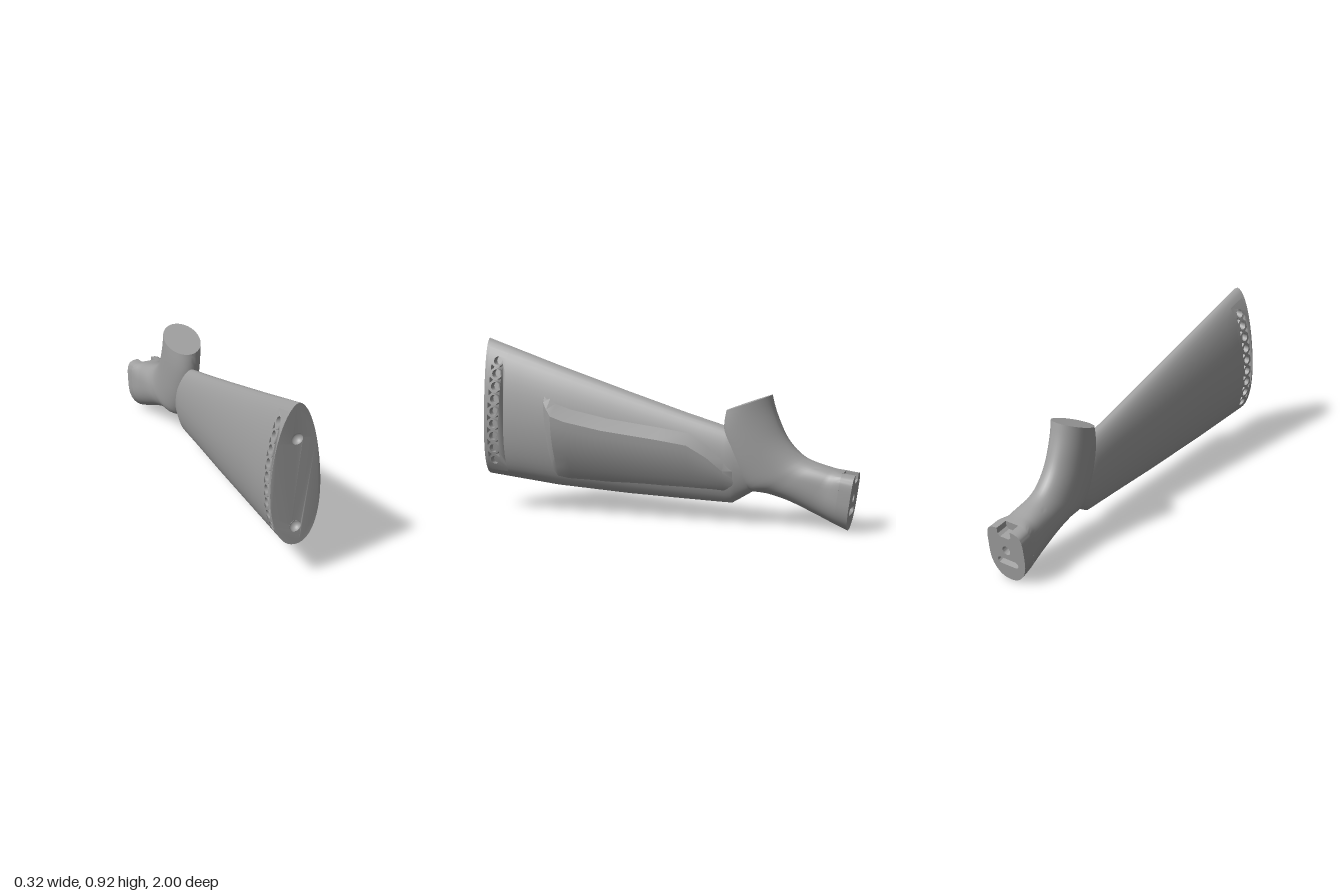
import * as THREE from 'three';
import { toCreasedNormals } from 'three/addons/utils/BufferGeometryUtils.js';

const V = (x, y, z) => new THREE.Vector3(x, y, z);
const lerp = THREE.MathUtils.lerp;
const SEG = 48;

// Row of a keyed table at k (first column, descending or ascending)
function sample(table, k) {
  const dir = Math.sign(table[1][0] - table[0][0]);
  let i = 0;
  while (i < table.length - 2 && (k - table[i + 1][0]) * dir > 0) i++;
  const a = table[i], b = table[i + 1];
  const t = THREE.MathUtils.clamp((k - a[0]) / (b[0] - a[0]), 0, 1);
  return a.map((v, n) => lerp(v, b[n], t));
}

// Superellipse point on the unit circle; n differs above and below the widest line
function oval(j, nTop, nBot) {
  const a = (j / SEG) * Math.PI * 2, c = Math.cos(a), s = Math.sin(a);
  const n = s >= 0 ? nTop : nBot;
  const p = (v) => Math.sign(v) * Math.pow(Math.abs(v) < 1e-9 ? 0 : Math.abs(v), 2 / n);
  return [p(c), p(s)];
}

// Skin over rings of points, with optional caps and left-out quads
function loft(rings, { closed = true, capStart, capEnd, skip = () => false, crease = 0.6 } = {}) {
  const m = rings[0].length, pos = [], index = [];
  rings.forEach((r) => r.forEach((p) => pos.push(p.x, p.y, p.z)));
  for (let i = 0; i < rings.length - 1; i++)
    for (let j = 0; j < (closed ? m : m - 1); j++) {
      if (skip(i, j)) continue;
      const a = i * m + j, b = i * m + ((j + 1) % m), c = a + m, d = b + m;
      index.push(a, c, d, a, d, b);
    }
  const cap = (i, flip) => {
    const c = V(0, 0, 0);
    rings[i].forEach((p) => c.addScaledVector(p, 1 / m));
    const id = pos.length / 3;
    pos.push(c.x, c.y, c.z);
    for (let j = 0; j < m; j++) {
      const a = i * m + j, b = i * m + ((j + 1) % m);
      index.push(id, flip ? b : a, flip ? a : b);
    }
  };
  if (capStart) cap(0, false);
  if (capEnd) cap(rings.length - 1, true);
  const g = new THREE.BufferGeometry();
  g.setAttribute('position', new THREE.Float32BufferAttribute(pos, 3));
  g.setIndex(index);
  return toCreasedNormals(g, crease);
}

// Body stations: z, top, bottom, widest y, centre x, half width, upper and lower roundness
const BODY = [
  [1, 0.92, 0.185, 0.47, -0.038, 0.127, 1.75, 2.2],
  [0.6, 0.787, 0.143, 0.44, -0.027, 0.112, 1.8, 2],
  [0.2, 0.66, 0.121, 0.37, -0.022, 0.094, 1.9, 1.9],
  [-0.1, 0.567, 0.112, 0.33, -0.018, 0.08, 2, 1.9],
  [-0.28, 0.515, 0.107, 0.31, -0.017, 0.074, 2, 1.9],
  [-0.36, 0.49, 0.105, 0.3, -0.017, 0.07, 2, 1.9],
  [-0.41, 0.45, 0.135, 0.3, -0.017, 0.06, 2, 2],
  [-0.5, 0.4, 0.19, 0.29, -0.017, 0.04, 2, 2],
];
const padZ = (y) => 1 - 0.015 * (1 - ((y - 0.55) / 0.37) ** 2);
function bodyRing(z) {
  const [, top, bot, cy, xc, hw, nT, nB] = sample(BODY, z);
  return Array.from({ length: SEG }, (_, j) => {
    const [c, s] = oval(j, nT, nB);
    return V(xc + hw * c, cy + s * (s > 0 ? top - cy : cy - bot), z);
  });
}
function bodyX(z, y, side) {
  const [, top, bot, cy, xc, hw, nT, nB] = sample(BODY, z);
  const t = Math.min(1, y > cy ? (y - cy) / (top - cy) : (cy - y) / (cy - bot));
  const n = y > cy ? nT : nB;
  return xc + side * hw * Math.pow(1 - Math.pow(t, n), 1 / n);
}

// Neck stations: position, half width, inner and outer roundness
const NECK = [[0, 0.098, 2, 2], [3, 0.094, 2, 2], [6, 0.09, 2.2, 2.2], [8, 0.097, 3, 2.2], [9, 0.108, 5, 2.2]];
const INNER = [[0.67, -0.565], [0.61, -0.58], [0.54, -0.605], [0.465, -0.64], [0.41, -0.68],
  [0.365, -0.73], [0.34, -0.78], [0.32, -0.84], [0.305, -0.89], [0.294, -0.936]];
const OUTER = [[0.585, -0.33], [0.54, -0.32], [0.48, -0.315], [0.38, -0.33], [0.27, -0.37],
  [0.18, -0.44], [0.165, -0.54], [0.135, -0.65], [0.075, -0.79], [0.026, -0.898]];

export function createModel() {
  const group = new THREE.Group();
  const grey = new THREE.MeshStandardMaterial({ color: 0xa0a0a0, side: THREE.DoubleSide });
  const add = (name, geo) => {
    const m = new THREE.Mesh(geo, grey);
    m.name = name;
    group.add(m);
  };

  // Main body, open where the vent panels sit
  const Z0 = 0.98, Z1 = 0.875, LOW = -8, HIGH = 9;
  const zs = [Z0, Z1, 0.8, 0.7, 0.6, 0.5, 0.4, 0.3, 0.2, 0.1, 0, -0.1, -0.2, -0.28, -0.33, -0.36, -0.385, -0.41, -0.45, -0.5];
  const rim = bodyRing(1).map((p) => V(p.x, p.y, padZ(p.y)));
  const inVent = (i, j) => {
    if (i !== 1) return false;
    const k = j >= SEG / 2 + SEG / 4 ? j - SEG : j;
    return (k >= LOW && k < HIGH) || (k >= SEG / 2 - HIGH && k < SEG / 2 - LOW);
  };
  add('body', loft([rim, ...zs.map(bodyRing)], { capEnd: true, skip: inVent }));

  // Concave butt pad with two round recesses
  const pad = new THREE.Shape(rim.map((p) => new THREE.Vector2(p.x, p.y)));
  for (const y of [0.733, 0.28]) {
    pad.holes.push(new THREE.Path().absarc(-0.038, y, 0.029, 0, Math.PI * 2, true));
    const bowl = new THREE.SphereGeometry(0.029, 24, 8, 0, Math.PI * 2, Math.PI / 2, Math.PI / 2);
    const geo = bowl.rotateX(Math.PI / 2).translate(-0.038, y, padZ(y));
    const flip = geo.index.array;
    for (let i = 0; i < flip.length; i += 3) [flip[i], flip[i + 1]] = [flip[i + 1], flip[i]];
    geo.computeVertexNormals();
    add('screwRecess', geo);
  }
  const padGeo = new THREE.ShapeGeometry(pad, 12);
  const pp = padGeo.attributes.position;
  for (let i = 0; i < pp.count; i++) pp.setZ(i, padZ(pp.getY(i)));
  padGeo.computeVertexNormals();
  add('buttPad', padGeo);

  // Vent outlines in (z, y): a row of circles with wedges between them
  const vents = [];
  for (let i = 0; i < 9; i++) {
    const y = 0.272 + i * 0.0665, z = 0.94 - i * 0.002;
    vents.push(Array.from({ length: 14 }, (_, k) => {
      const a = (k / 14) * Math.PI * 2;
      return [z + 0.022 * Math.cos(a), y + 0.022 * Math.sin(a)];
    }));
    if (i < 8) for (const s of [-1, 1])
      vents.push([[z + s * 0.011, y + 0.033], [z + s * 0.032, y + 0.049], [z + s * 0.032, y + 0.017]]);
  }
  for (const side of [1, -1]) {
    const flat = (pts) => pts.map(([z, y]) => new THREE.Vector2(-side * z, y));
    const place = (geo, depth) => {
      const p = geo.attributes.position;
      for (let i = 0; i < p.count; i++) {
        const z = -side * p.getX(i), y = p.getY(i);
        p.setXYZ(i, bodyX(z, y, side) - side * depth, y, z);
      }
      geo.computeVertexNormals();
      return geo;
    };
    const front = bodyRing(Z0), back = bodyRing(Z1), outline = [];
    for (let k = LOW; k <= HIGH; k++) outline.push([Z0, front[(k + SEG) % SEG].y]);
    for (let k = HIGH; k >= LOW; k--) outline.push([Z1, back[(k + SEG) % SEG].y]);
    const panel = new THREE.Shape(flat(outline));
    vents.forEach((v) => panel.holes.push(new THREE.Path(flat(v))));
    add('ventPanel', place(new THREE.ShapeGeometry(panel), 0));
    for (const v of vents) {
      const wall = [0, 0.04].map((d) => v.map(([z, y]) => V(bodyX(z, y, side) - side * d, y, z)));
      add('ventWall', loft(wall));
      add('ventFloor', place(new THREE.ShapeGeometry(new THREE.Shape(flat(v))), 0.04));
    }
  }

  // Swell on the left side: z, outer x, ridge height
  const SWELL = [[0.66, 0.06, 0.6], [0.645, 0.08, 0.595], [0.61, 0.125, 0.565], [0.575, 0.16, 0.535],
    [0.5, 0.16, 0.51], [0.3, 0.143, 0.47], [0, 0.122, 0.432], [-0.15, 0.113, 0.41],
    [-0.25, 0.095, 0.35], [-0.33, 0.075, 0.28], [-0.4, 0.03, 0.22]];
  add('sideSwell', loft(SWELL.map(([z, xo, yt]) => {
    const y0 = 0.165, x0 = bodyX(z, y0, 1) - 0.006, row = [];
    for (let k = 0; k <= 8; k++) {
      const s = k / 8;
      row.push(V(lerp(x0, xo, Math.sin((s * Math.PI) / 2) ** 0.85), lerp(y0, yt, s), z));
    }
    row.push(V(bodyX(z, yt + 0.06, 1) - 0.008, yt + 0.06, z));
    return row;
  }), { closed: false, crease: 0.5 }));

  // Neck: sweeps from the oval upper stub round to the tip
  const curve = (pts) => new THREE.CatmullRomCurve3(pts.map(([y, z]) => V(0, y, z)));
  const inner = curve(INNER), outer = curve(OUTER), rings = [];
  for (let i = 0; i <= 27; i++) {
    const a = inner.getPoint(i / 27), b = outer.getPoint(i / 27);
    const [, hw, nT, nB] = sample(NECK, i / 3);
    const mid = a.clone().add(b).multiplyScalar(0.5), up = a.clone().sub(mid);
    const xc = lerp(-0.017, -0.035, Math.min(1, i / 24));
    rings.push(Array.from({ length: SEG }, (_, j) => {
      const [c, s] = oval(j, nT, nB);
      return mid.clone().addScaledVector(up, s).add(V(xc + hw * c, 0, 0));
    }));
  }
  add('neck', loft(rings, { capStart: true, capEnd: true }));

  // Tip block with a top notch, a round hole and a slot
  const H = 0.144, W = 0.11, D = 0.065, pts = [];
  for (let j = 0; j < SEG; j++) {
    const [c, s] = oval(j, 5, 2.2);
    if (s > 0 && Math.abs(c * W) < 0.045) {
      if (j === SEG / 4)
        for (const [x, y] of [[0.04, H], [0.04, 0.112], [0.025, 0.1], [-0.025, 0.1], [-0.04, 0.112], [-0.04, H]])
          pts.push(new THREE.Vector2(x, y));
    } else pts.push(new THREE.Vector2(c * W, s * H));
  }
  const tip = new THREE.Shape(pts);
  tip.holes.push(new THREE.Path().absarc(0, 0.025, 0.024, 0, Math.PI * 2, true));
  const slot = new THREE.Path();
  slot.absarc(0.045, -0.045, 0.018, -Math.PI / 2, Math.PI / 2, false);
  slot.absarc(-0.045, -0.045, 0.018, Math.PI / 2, Math.PI * 1.5, false);
  tip.holes.push(slot);
  const tipGeo = new THREE.ExtrudeGeometry(tip, { depth: D, bevelEnabled: false, curveSegments: 10 });
  tipGeo.translate(0, 0, -D);
  const tp = tipGeo.attributes.position;
  for (let i = 0; i < tp.count; i++)
    if (tp.getZ(i) < -D / 2) tp.setXY(i, tp.getX(i) * 0.98, tp.getY(i) * 0.94 + 0.0085);
  const up = V(0, 0.99, -0.139).normalize(), out = V(0, -0.139, -0.99).normalize();
  tipGeo.applyMatrix4(new THREE.Matrix4().makeBasis(V(-1, 0, 0), up, out).setPosition(-0.035, 0.1425, -0.98));
  add('tip', toCreasedNormals(tipGeo, 0.6));

  return group;
}
